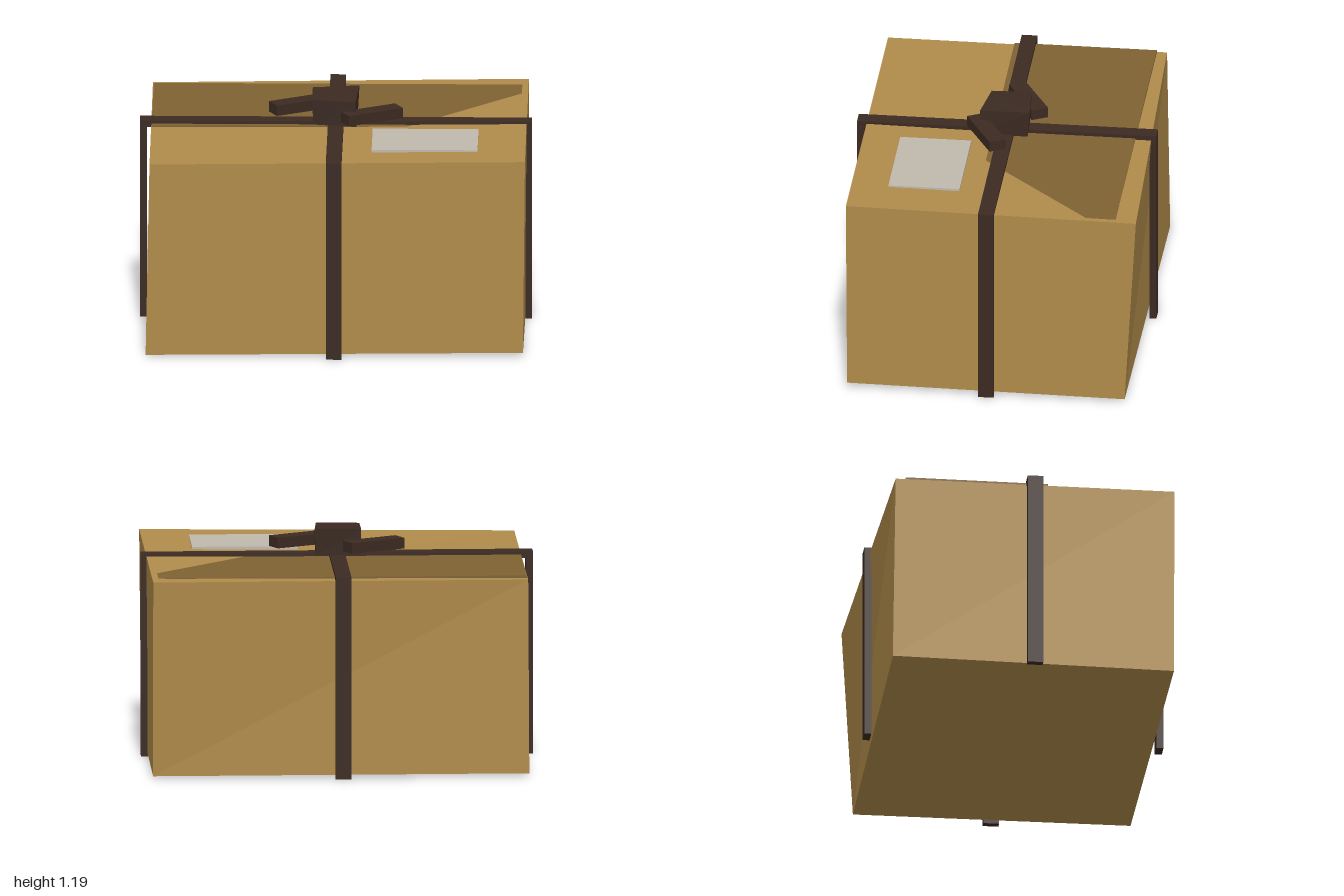
import * as THREE from 'three';

const paint = (color) => new THREE.MeshStandardMaterial({ color, flatShading: true });

export function createModel() {
  const model = new THREE.Group();
  const card = paint(0xb08b4a), darkCard = paint(0x7f6233);
  const strap = paint(0x3b2a22), paper = paint(0xc0b9ad);

  const add = (name, geometry, material) => {
    const mesh = new THREE.Mesh(geometry, material);
    mesh.name = name;
    model.add(mesh);
    return mesh;
  };

  // Plain box given by its centre and size
  const block = (name, [x, y, z], size, material) => {
    const mesh = add(name, new THREE.BoxGeometry(...size), material);
    mesh.position.set(x, y, z);
    return mesh;
  };

  // Crooked box: each vertex moves to its own corner.
  // Corner order: bottom then top, each back left-hand (-x), back +x, front -x, front +x
  const crookedBox = (name, corners, material) => {
    const geometry = new THREE.BoxGeometry(1, 1, 1);
    const p = geometry.attributes.position;
    for (let i = 0; i < p.count; i++) {
      const k = (p.getY(i) > 0 ? 4 : 0) + (p.getZ(i) > 0 ? 2 : 0) + (p.getX(i) > 0 ? 1 : 0);
      p.setXYZ(i, ...corners[k]);
    }
    geometry.computeVertexNormals();
    return add(name, geometry, material);
  };

  // Carton with slightly uneven corners
  crookedBox('carton', [
    [-0.95, 0.018, -0.727], [0.97, 0.015, -0.71], [-0.96, 0.005, 0.715], [0.965, 0.025, 0.715],
    [-0.945, 1.018, -0.712], [0.972, 1.028, -0.768], [-0.94, 1.023, 0.72], [0.975, 1.045, 0.72],
  ], card);

  // Dark flap, partly sunk into the sloping lid
  block('topFlap', [0, 1.0206, -0.295], [1.88, 0.02, 0.73], darkCard);

  // Paper label
  block('label', [0.46, 1.037, 0.347], [0.54, 0.022, 0.365], paper);

  // Straps across the lid and down the four sides
  block('topStrapAcross', [0, 1.03, 0], [2, 0.035, 0.08], strap);
  block('topStrapAlong', [0, 1.03, 0], [0.08, 0.035, 1.536], strap);
  for (const s of [-1, 1]) {
    block('sideStrap', [s * 0.982, 0.523, 0], [0.036, 1.046, 0.08], strap);
    block('endStrap', [0, 0.523, s * 0.75], [0.08, 1.046, 0.036], strap);
    // Bow loops on either side of the knot
    const loop = block('bowLoop', [s * 0.185, 1.097, s * 0.087], [0.31, 0.055, 0.09], strap);
    loop.rotation.y = THREE.MathUtils.degToRad(28);
  }

  // Lumpy knot
  crookedBox('knot', [
    [-0.115, 1.045, -0.105], [0.11, 1.045, -0.115], [-0.115, 1.045, 0.09], [0.105, 1.045, 0.13],
    [-0.12, 1.182, -0.11], [0.118, 1.188, -0.127], [-0.12, 1.178, 0.095], [0.1, 1.176, 0.13],
  ], strap);

  return model;
}
